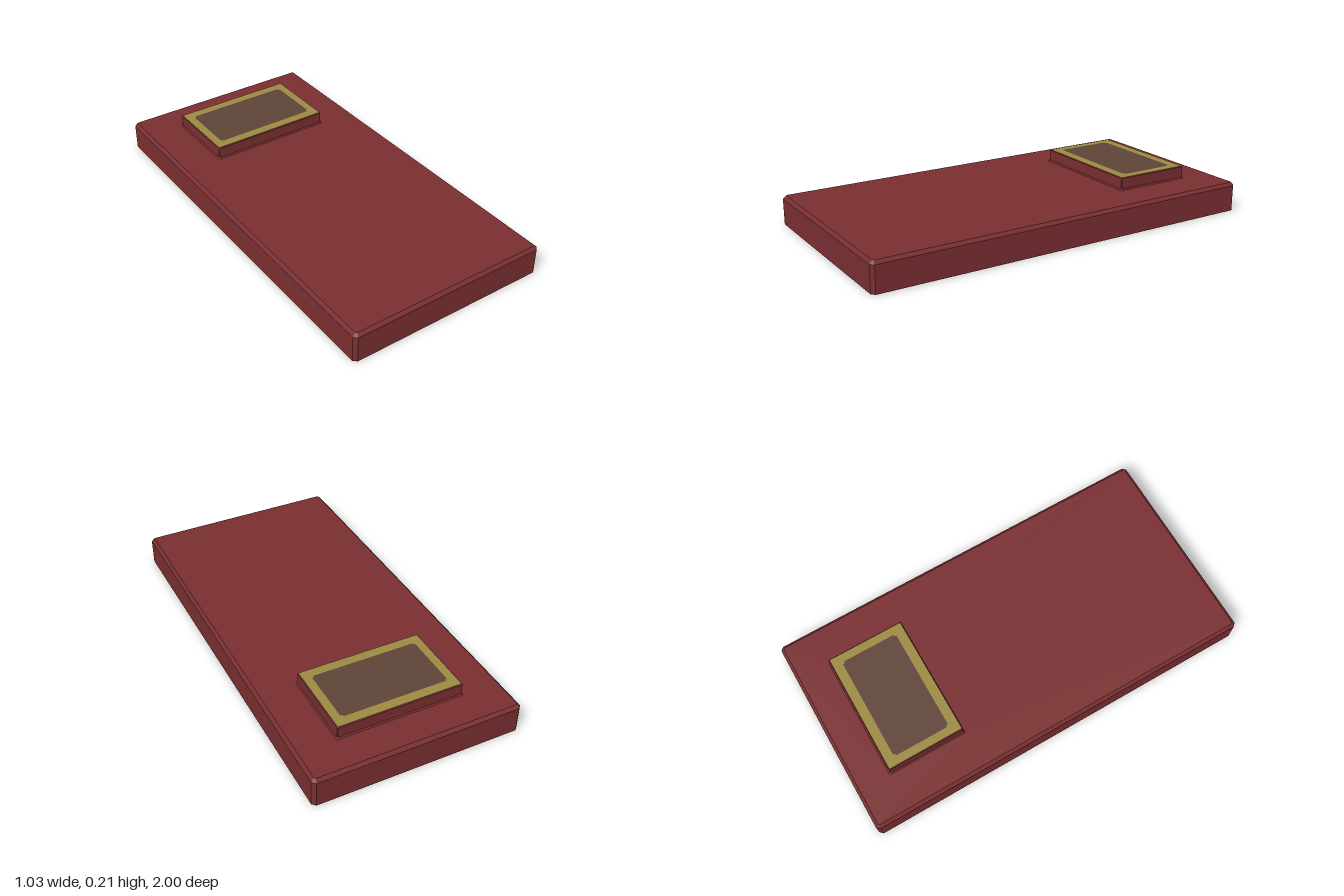
import * as THREE from 'three';

const PILLOW_Z = -0.627;

// Chamfered rectangle at height y, counter-clockwise seen from above
function ring(hx, hz, y, c, cz = 0) {
  return [
    [hx, hz - c], [hx, c - hz], [hx - c, -hz], [c - hx, -hz],
    [-hx, c - hz], [-hx, hz - c], [c - hx, hz], [hx - c, hz],
  ].map(([x, z]) => [x, y, z + cz]);
}

// Flat-shaded shell skinned between successive rings
function shell(rings) {
  const pos = [];
  for (let r = 0; r < rings.length - 1; r++) {
    const lo = rings[r], up = rings[r + 1];
    for (let i = 0; i < 8; i++) {
      const j = (i + 1) % 8;
      pos.push(...lo[i], ...lo[j], ...up[j], ...lo[i], ...up[j], ...up[i]);
    }
  }
  const g = new THREE.BufferGeometry();
  g.setAttribute('position', new THREE.Float32BufferAttribute(pos, 3));
  g.computeVertexNormals();
  return g;
}

// Rectangle with small square notches at its corners
function notched(hx, hz, n) {
  const pts = [];
  for (const [sx, sy] of [[1, 1], [-1, 1], [-1, -1], [1, -1]]) {
    const corner = [[hx, hz - n], [hx - n, hz - n], [hx - n, hz]];
    if (sx * sy < 0) corner.reverse();
    corner.forEach(([x, y]) => pts.push(new THREE.Vector2(x * sx, y * sy)));
  }
  return pts;
}

export function createModel() {
  const mat = (name, color) => {
    const m = new THREE.MeshStandardMaterial({ color, side: THREE.DoubleSide });
    m.name = name;
    return m;
  };
  const red = mat('dark red', 0x782e30);
  const gold = mat('old gold', 0x9b8841);
  const brown = mat('dull brown', 0x5e4338);

  const group = new THREE.Group();
  const add = (name, geometry, material) => {
    const m = new THREE.Mesh(geometry, material);
    m.name = name;
    group.add(m);
    return m;
  };

  // Open-bottomed slab; its top surface stops at the foot of the raised block
  add('blanket', shell([
    ring(0.513, 1, 0, 0.016),
    ring(0.513, 1, 0.131, 0.016),
    ring(0.498, 0.985, 0.146, 0.006),
    ring(0.317, 0.202, 0.146, 0.004, PILLOW_Z),
  ]), red);

  // Raised block with a flared foot and a thin bevelled rim
  add('pillowSides', shell([
    ring(0.317, 0.202, 0.146, 0.004, PILLOW_Z),
    ring(0.311, 0.196, 0.152, 0.003, PILLOW_Z),
    ring(0.311, 0.196, 0.205, 0.003, PILLOW_Z),
    ring(0.307, 0.192, 0.209, 0.002, PILLOW_Z),
  ]), red);

  // Gold border around a brown panel
  const border = new THREE.Shape(notched(0.307, 0.192, 0.002));
  const inner = notched(0.266, 0.145, 0.01);
  border.holes.push(new THREE.Path(inner));
  for (const [name, shape, material] of [
    ['pillowBorder', border, gold],
    ['pillowPanel', new THREE.Shape(inner), brown],
  ]) {
    const m = add(name, new THREE.ShapeGeometry(shape), material);
    m.rotation.x = -Math.PI / 2;
    m.position.set(0, 0.209, PILLOW_Z);
  }
  return group;
}
